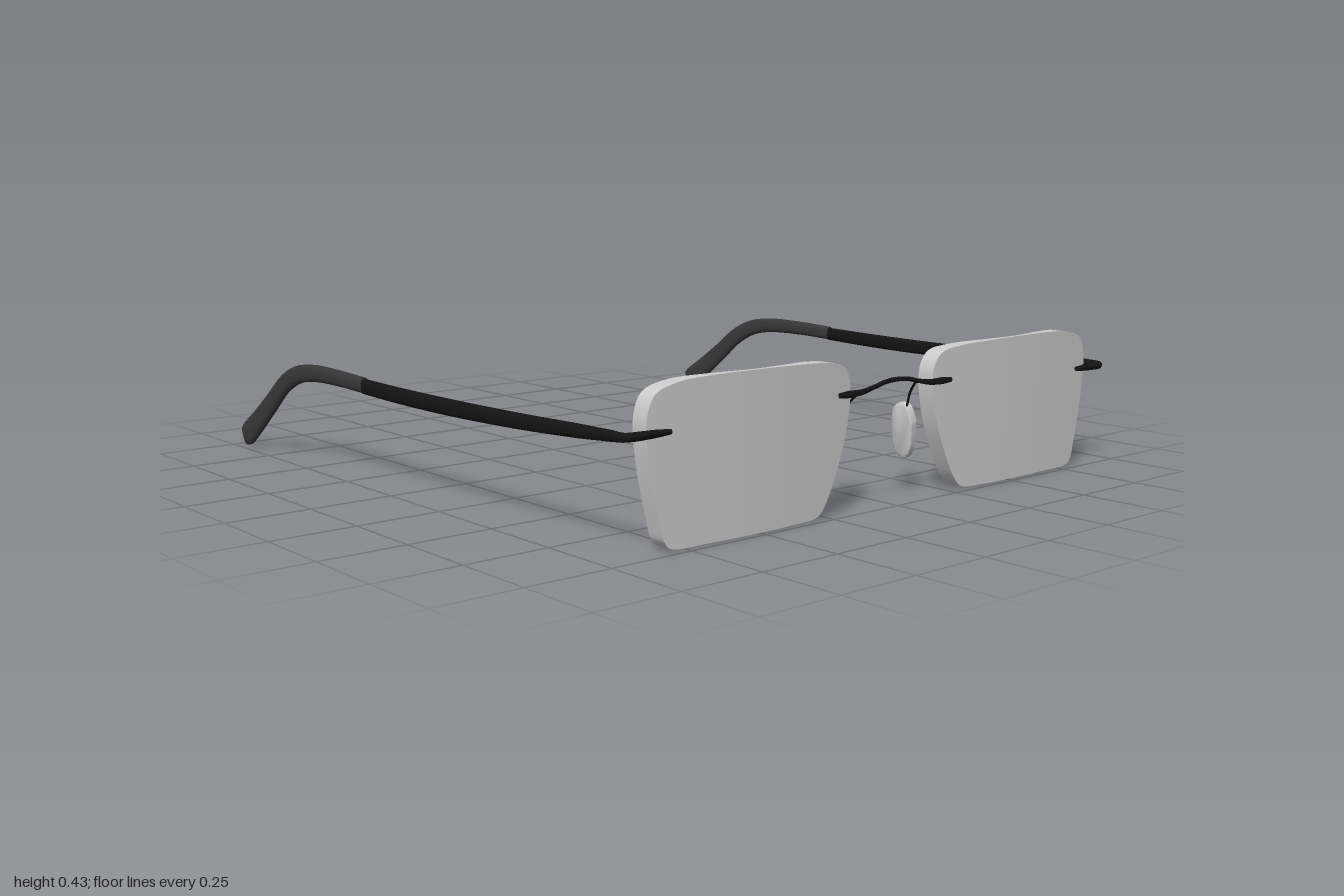
import * as THREE from 'three';
import { toCreasedNormals } from 'three/addons/utils/BufferGeometryUtils.js';

const grey = new THREE.MeshStandardMaterial({ color: 0xcccccc });
const black = new THREE.MeshStandardMaterial({ color: 0x141414 });
const charcoal = new THREE.MeshStandardMaterial({ color: 0x383838 });

function finish(name, positions, index, material, crease = 0.7) {
  const geo = new THREE.BufferGeometry();
  geo.setAttribute('position', new THREE.Float32BufferAttribute(positions, 3));
  geo.setIndex(index);
  const mesh = new THREE.Mesh(toCreasedNormals(geo, crease), material);
  mesh.name = name;
  return mesh;
}

// Sweep a rounded section along stations [x, y, z, width, height]
function sweep(name, stations, material, { steps = 32, sides = 14, square = 1 } = {}) {
  const path = new THREE.CatmullRomCurve3(stations.map((s) => new THREE.Vector3(s[0], s[1], s[2])), false, 'centripetal');
  const size = new THREE.SplineCurve(stations.map((s) => new THREE.Vector2(s[3], s[4])));
  const pos = [], idx = [], Y = new THREE.Vector3(0, 1, 0);
  for (let i = 0; i <= steps; i++) {
    const t = i / steps, p = path.getPoint(t), T = path.getTangent(t), wh = size.getPoint(t);
    const side = new THREE.Vector3().crossVectors(Y, T).normalize();
    const up = new THREE.Vector3().crossVectors(T, side);
    for (let j = 0; j < sides; j++) {
      const a = (j / sides) * Math.PI * 2;
      const round = (v) => Math.sign(v) * Math.abs(v) ** square / 2;
      const q = p.clone().addScaledVector(side, round(Math.cos(a)) * wh.x).addScaledVector(up, round(Math.sin(a)) * wh.y);
      pos.push(q.x, q.y, q.z);
    }
  }
  for (let i = 0; i < steps; i++) for (let j = 0; j < sides; j++) {
    const k = (j + 1) % sides, a = i * sides + j, b = i * sides + k;
    idx.push(a, b, b + sides, a, b + sides, a + sides);
  }
  for (let j = 1; j < sides - 1; j++) {
    const e = steps * sides;
    idx.push(0, j + 1, j, e, e + j, e + j + 1);
  }
  return finish(name, pos, idx, material);
}

// Lens: rings shrinking from the outline to its middle, hollowed at the back
const lensOutline = [
  [0.166, 0.33], [0.172, 0.375], [0.2, 0.41], [0.27, 0.424], [0.4, 0.43], [0.52, 0.432], [0.66, 0.432],
  [0.78, 0.424], [0.845, 0.4], [0.868, 0.35], [0.869, 0.29], [0.855, 0.19], [0.83, 0.08], [0.815, 0.03],
  [0.795, 0.014], [0.68, 0.011], [0.52, 0.01], [0.38, 0.011], [0.295, 0.016], [0.268, 0.037], [0.225, 0.115], [0.185, 0.22],
];
function lens(s) {
  const curve = new THREE.CatmullRomCurve3(lensOutline.map(([x, y]) => new THREE.Vector3(x, y, 0)), true);
  const N = 88, R = 12, pts = curve.getPoints(N).slice(0, N);
  if (s > 0) pts.reverse(); // anticlockwise seen from the front
  const pos = [], idx = [], cx = 0.52, cy = 0.23;
  const front = (u) => 0.986 - 0.014 * u * u;
  const back = (u) => 0.946 + 0.026 * Math.cos(Math.PI * Math.min(1, Math.abs(u)));
  for (const depth of [front, back]) for (let r = 0; r <= R; r++) for (const p of pts) {
    const x = cx + (p.x - cx) * (r / R), y = cy + (p.y - cy) * (r / R);
    pos.push(s * x, y, depth((x - cx) / 0.35));
  }
  const B = (R + 1) * N, rim = R * N;
  for (let j = 0; j < N; j++) {
    const k = (j + 1) % N;
    for (let r = 0; r < R; r++) {
      const a = r * N + j, b = r * N + k, c = b + N, d = a + N;
      idx.push(a, d, c, B + a, B + c, B + d);
      if (r > 0) idx.push(a, c, b, B + a, B + b, B + c);
    }
    idx.push(rim + j, B + rim + j, B + rim + k, rim + j, B + rim + k, rim + k);
  }
  return finish('lens', pos, idx, grey, 0.6);
}

// Nose pad: bevelled egg-shaped slab, drawn in z and y, leaning outward at the bottom
function nosePad(s) {
  const outline = [[0.914, 0.215], [0.9, 0.252], [0.875, 0.256], [0.855, 0.235], [0.851, 0.18],
    [0.854, 0.135], [0.868, 0.114], [0.888, 0.113], [0.905, 0.145]];
  const curve = new THREE.SplineCurve([...outline, outline[0]].map(([z, y]) => new THREE.Vector2(-(z - 0.884), y - 0.185)));
  const geo = new THREE.ExtrudeGeometry(new THREE.Shape(curve.getPoints(40).slice(0, 40)), {
    depth: 0.01, bevelThickness: 0.008, bevelSize: 0.008, bevelSegments: 4, curveSegments: 1,
  });
  geo.translate(0, 0, -0.005).rotateY(Math.PI / 2);
  const mesh = new THREE.Mesh(toCreasedNormals(geo, 0.8), grey);
  mesh.name = 'nosePad';
  mesh.position.set(s * 0.154, 0.185, 0.884);
  mesh.rotation.z = s * 0.1;
  return mesh;
}

export function createModel() {
  const model = new THREE.Group();
  model.name = 'eyeglasses';

  // Arched bridge with flattened ends fixed to the lenses
  const half = [[0.225, 0.334, 0.988, 0.01, 0.014], [0.19, 0.334, 0.988, 0.012, 0.02], [0.135, 0.335, 0.986, 0.012, 0.016],
    [0.09, 0.343, 0.985, 0.012, 0.013], [0.045, 0.353, 0.985, 0.012, 0.013]];
  const mirrored = half.map(([x, ...rest]) => [-x, ...rest]);
  model.add(sweep('bridge', [...mirrored, [0, 0.356, 0.985, 0.012, 0.013], ...half.reverse()], black, { steps: 48, sides: 10 }));

  for (const s of [1, -1]) {
    const side = new THREE.Group();
    side.name = s > 0 ? 'leftSide' : 'rightSide';
    const mirror = (list) => list.map(([x, ...rest]) => [s * x, ...rest]);
    side.add(lens(s), nosePad(s));

    // Wire holding the nose pad
    side.add(sweep('padWire', mirror([[0.085, 0.343, 0.984, 0.007, 0.007], [0.108, 0.328, 0.955, 0.007, 0.007],
      [0.122, 0.3, 0.928, 0.007, 0.007], [0.138, 0.262, 0.905, 0.007, 0.007], [0.15, 0.225, 0.884, 0.007, 0.007]]), black, { steps: 20, sides: 8 }));

    // End piece: rod on the lens that bends back into the temple
    side.add(sweep('endPiece', mirror([[0.81, 0.309, 0.99, 0.014, 0.014], [0.855, 0.309, 0.989, 0.018, 0.02],
      [0.91, 0.309, 0.988, 0.02, 0.023], [0.934, 0.309, 0.984, 0.02, 0.023], [0.943, 0.308, 0.972, 0.021, 0.024],
      [0.945, 0.307, 0.93, 0.022, 0.028]]), black, { steps: 30 }));

    // Temple arm, deepening toward the middle
    side.add(sweep('temple', mirror([[0.945, 0.307, 0.935, 0.022, 0.028], [0.947, 0.301, 0.8, 0.023, 0.036],
      [0.951, 0.292, 0.55, 0.023, 0.042], [0.956, 0.287, 0.25, 0.023, 0.046], [0.961, 0.288, 0, 0.023, 0.046],
      [0.964, 0.292, -0.195, 0.023, 0.044]]), black, { square: 0.7 }));

    // Ear tip curving down and widening at the end
    side.add(sweep('earTip', mirror([[0.964, 0.295, -0.195, 0.026, 0.046], [0.965, 0.299, -0.35, 0.026, 0.048],
      [0.965, 0.296, -0.5, 0.026, 0.052], [0.965, 0.28, -0.6, 0.026, 0.056], [0.965, 0.24, -0.69, 0.026, 0.06],
      [0.965, 0.165, -0.79, 0.026, 0.065], [0.965, 0.085, -0.9, 0.026, 0.074], [0.965, 0.047, -0.958, 0.026, 0.078],
      [0.965, 0.036, -0.979, 0.022, 0.066]]), charcoal, { steps: 48, square: 0.7 }));
    model.add(side);
  }
  return model;
}
